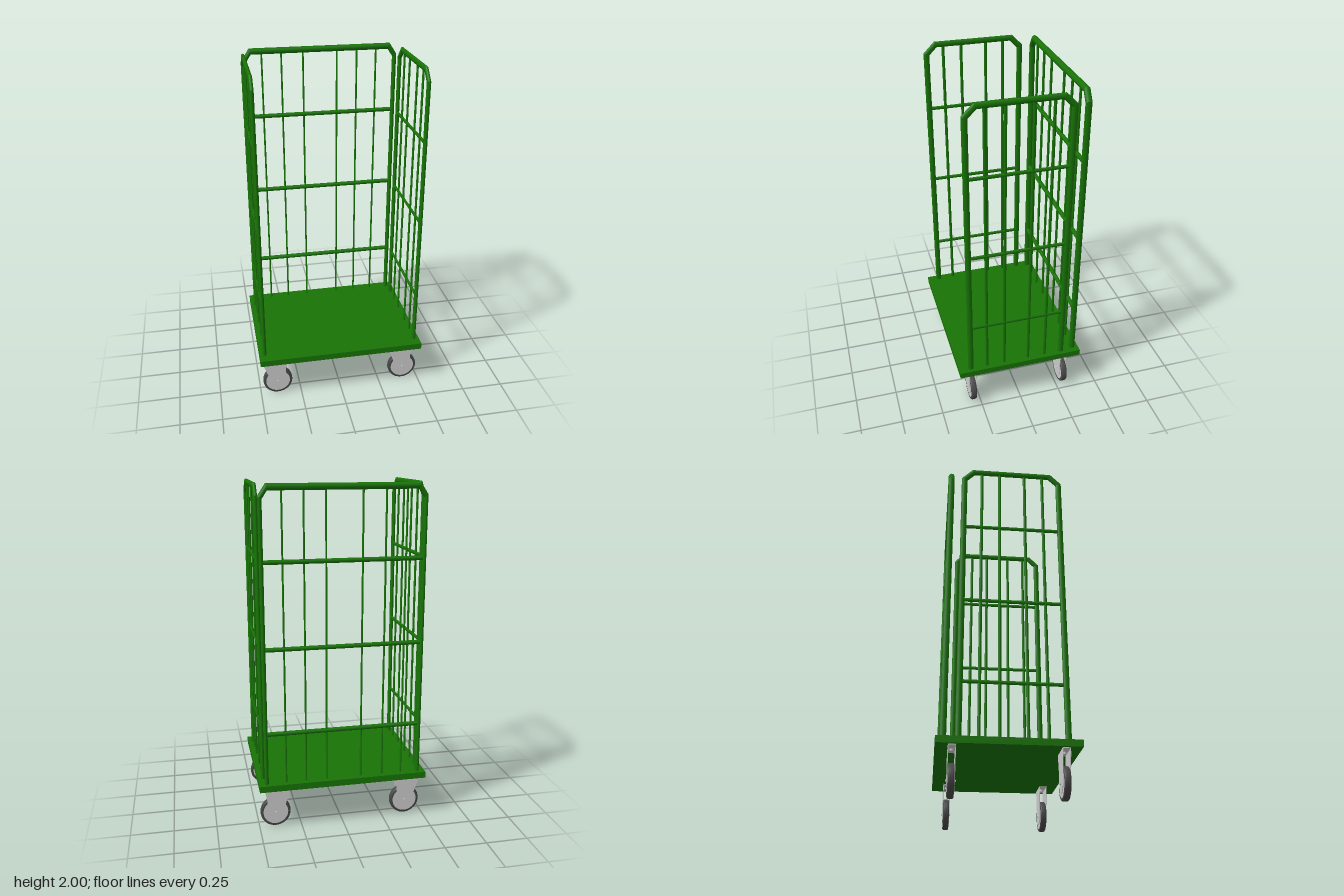
import * as THREE from 'three';

const mat = (color) => new THREE.MeshStandardMaterial({ color });
const green = mat(0x187306);
const rubber = mat(0x484848);
const grey = mat(0xcccccc);
const V = (x, y, z) => new THREE.Vector3(x, y, z);

function add(parent, name, geometry, material, x = 0, y = 0, z = 0) {
  const mesh = new THREE.Mesh(geometry, material);
  mesh.name = name;
  mesh.position.set(x, y, z);
  parent.add(mesh);
  return mesh;
}

// Straight round bar between two points
function bar(parent, name, a, b, r) {
  const d = b.clone().sub(a);
  const mesh = add(parent, name, new THREE.CylinderGeometry(r, r, d.length(), 12), green);
  mesh.position.copy(a).add(b).multiplyScalar(0.5);
  mesh.quaternion.setFromUnitVectors(V(0, 1, 0), d.normalize());
}

// Round tube with mitred corners along a path in the xy plane
function mitredTube(path, r, sides = 16) {
  const pos = [], normals = [], index = [];
  for (let s = 0; s < path.length - 1; s++) {
    const dir = path[s + 1].clone().sub(path[s]).normalize();
    const side = new THREE.Vector2(-dir.y, dir.x);
    const base = pos.length / 3;
    for (const k of [s, s + 1]) {
      // Shift each ring along the tube so that it lies in the mitre plane
      const other = k === s ? path[k - 1] : path[k + 1];
      let slope = 0;
      if (other) {
        const d2 = (k === s ? path[k].clone().sub(other) : other.clone().sub(path[k])).normalize();
        const plane = dir.clone().add(d2);
        slope = -plane.dot(side) / plane.dot(dir);
      }
      for (let i = 0; i <= sides; i++) {
        const t = (i / sides) * Math.PI * 2, c = Math.cos(t), n = Math.sin(t);
        const p = path[k].clone().addScaledVector(side, r * c).addScaledVector(dir, r * c * slope);
        pos.push(p.x, p.y, r * n);
        normals.push(side.x * c, side.y * c, n);
      }
    }
    for (let i = 0; i < sides; i++) {
      const a = base + i, b = a + sides + 1;
      index.push(a, a + 1, b, a + 1, b + 1, b);
    }
  }
  const g = new THREE.BufferGeometry();
  g.setAttribute('position', new THREE.Float32BufferAttribute(pos, 3));
  g.setAttribute('normal', new THREE.Float32BufferAttribute(normals, 3));
  g.setIndex(index);
  return g;
}

// Wire panel in the xy plane: chamfered frame, cross rails and thin uprights
function panel(name, half, r, rails, railR, wires, wireR) {
  const g = new THREE.Group();
  g.name = name;
  const top = 2 - r, cut = 0.055;
  const path = [[-half, 0.28], [-half, top - cut], [-half + cut, top],
    [half - cut, top], [half, top - cut], [half, 0.28]].map(([x, y]) => new THREE.Vector2(x, y));
  add(g, 'panelFrame', mitredTube(path, r), green);
  for (const y of rails) bar(g, 'crossRail', V(-half, y, 0), V(half, y, 0), railR);
  for (const x of wires) bar(g, 'uprightWire', V(x, 0.28, 0), V(x, top, 0), wireR);
  return g;
}

// Flat fork cheek: wide at the top, rounded around the axle
function forkCheek() {
  const s = new THREE.Shape();
  s.moveTo(-0.093, 0.168);
  s.lineTo(0.058, 0.168);
  s.lineTo(0.057, 0.115);
  s.lineTo(0.05, 0.08);
  s.lineTo(0.05, 0);
  s.absarc(0, 0, 0.05, 0, Math.PI, true);
  s.lineTo(-0.06, 0.05);
  s.lineTo(-0.088, 0.13);
  s.closePath();
  return new THREE.ExtrudeGeometry(s, { depth: 0.003, bevelEnabled: false, curveSegments: 16 });
}

function lathe(points) {
  return new THREE.LatheGeometry(points.map(([x, y]) => new THREE.Vector2(x, y)), 40).rotateX(Math.PI / 2);
}

function caster(x, z) {
  const g = new THREE.Group();
  g.name = 'caster';
  g.position.set(x, 0.09, z);
  // Wheel: tyre around a flat hub
  add(g, 'tyre', lathe([[0.074, -0.0175], [0.084, -0.0175], [0.0885, -0.014], [0.09, -0.008],
    [0.09, 0.008], [0.0885, 0.014], [0.084, 0.0175], [0.074, 0.0175]]), rubber);
  add(g, 'wheelHub', new THREE.CylinderGeometry(0.076, 0.076, 0.033, 40).rotateX(Math.PI / 2), grey);
  // Fork, top plate and swivel
  const cheek = forkCheek();
  add(g, 'forkCheek', cheek, grey, 0, 0, 0.018);
  add(g, 'forkCheek', cheek, grey, 0, 0, -0.021);
  add(g, 'forkCrown', new THREE.BoxGeometry(0.15, 0.004, 0.042), grey, -0.0175, 0.164, 0);
  add(g, 'swivelBolt', new THREE.CylinderGeometry(0.01, 0.01, 0.014, 12), grey, -0.0175, 0.158, 0);
  // Axle through both cheeks
  add(g, 'axle', new THREE.CylinderGeometry(0.006, 0.006, 0.056, 12).rotateX(Math.PI / 2), grey);
  return g;
}

export function createModel() {
  const model = new THREE.Group();
  model.name = 'rollCage';

  add(model, 'platform', new THREE.BoxGeometry(1, 0.038, 0.76), green, 0, 0.276, 0);

  // Cage tubes are oval: narrower across the width
  const k = 0.66;
  const cage = new THREE.Group();
  cage.name = 'cage';
  cage.scale.x = k;
  model.add(cage);

  const back = panel('backPanel', 0.4555 / k, 0.0185, [0.6, 1.1, 1.586], 0.013,
    [-0.352, -0.235, -0.105, 0.1, 0.222, 0.34].map((x) => x / k), 0.008);
  back.position.z = -0.341;
  cage.add(back);

  // The side panels run along z, so their local x points backwards
  const sideZ = 0.023;
  for (const s of [-1, 1]) {
    const side = panel('sidePanel', 0.2855, 0.0172, [0.606, 1.096, 1.586], 0.011,
      [0.208, 0.1, -0.05, -0.157].map((z) => sideZ - z), 0.009);
    side.rotation.y = Math.PI / 2;
    side.position.set((s * 0.4685) / k, 0, sideZ);
    cage.add(side);
  }

  for (const x of [-0.393, 0.402]) for (const z of [0.295, -0.292]) model.add(caster(x, z));
  return model;
}
